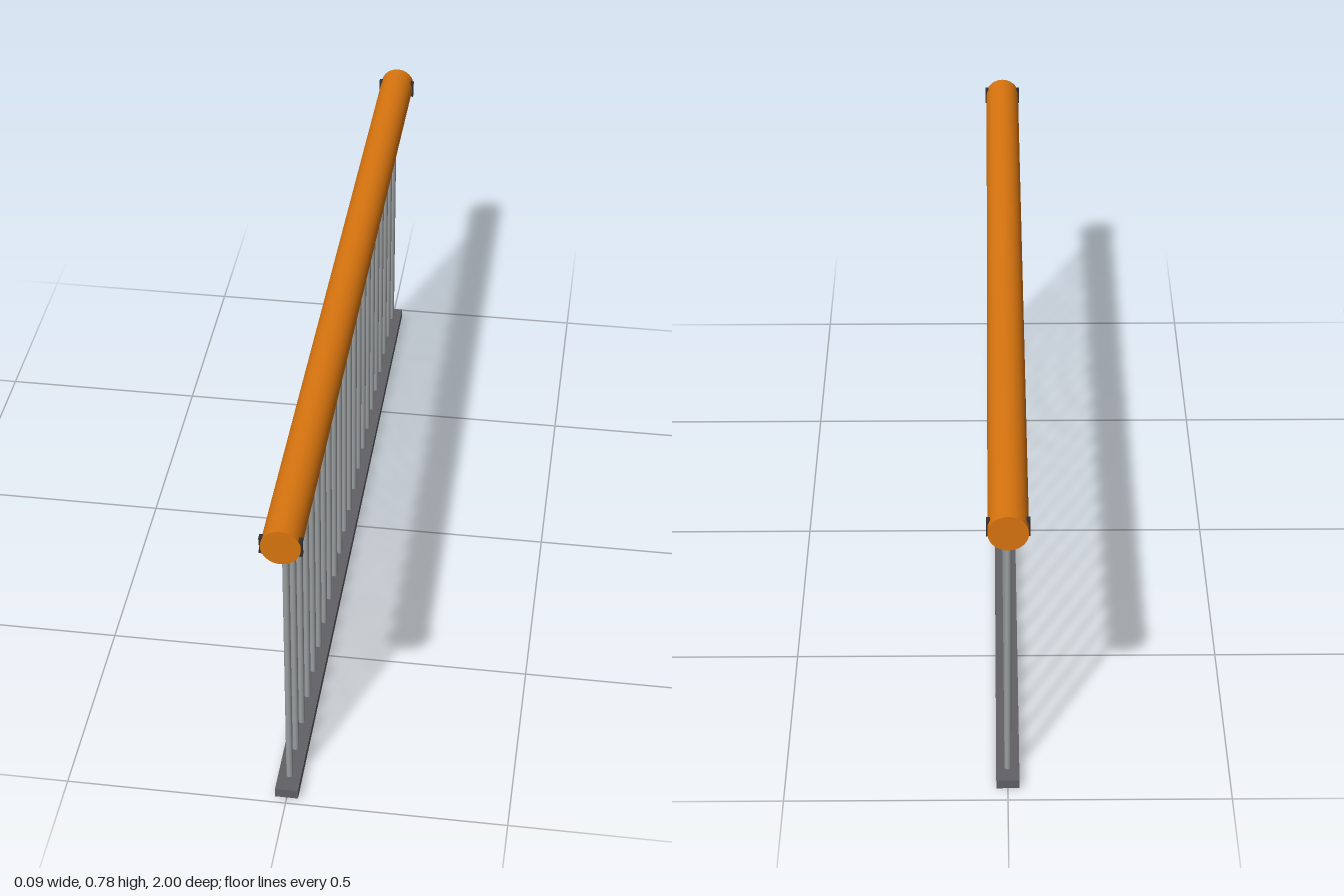
import * as THREE from 'three';

const mat = (name, color) => {
  const m = new THREE.MeshStandardMaterial({ color });
  m.name = name;
  return m;
};

export function createModel() {
  const orange = mat('orange', 0xd9750f);
  const steel = mat('steel grey', 0x9a9e9f);
  const darkGrey = mat('dark grey', 0x606066);
  const black = mat('charcoal', 0x303033);
  const navy = mat('dark violet', 0x3a3650);

  const model = new THREE.Group();
  model.name = 'railing';
  const add = (name, geometry, material, x, y, z, parent = model) => {
    const mesh = new THREE.Mesh(geometry, material);
    mesh.name = name;
    mesh.position.set(x, y, z);
    parent.add(mesh);
    return mesh;
  };

  // Round handrail running front to back
  const railY = 0.741;
  add('handrail', new THREE.CylinderGeometry(0.043, 0.043, 2, 48).rotateX(Math.PI / 2), orange, 0, railY, 0);

  // Evenly spaced balusters, from the base up into the rail
  const balusters = new THREE.Group();
  balusters.name = 'balusters';
  model.add(balusters);
  const rod = new THREE.CylinderGeometry(0.0077, 0.0077, 0.70, 16);
  const count = 22;
  for (let i = 0; i < count; i++) {
    add('baluster', rod, steel, 0, 0.365, 0.936 - i * 0.0884, balusters);
  }

  // Bottom rail with a narrower strip beneath it
  add('baseRail', new THREE.BoxGeometry(0.052, 0.023, 1.95), darkGrey, 0, 0.0145, 0.01);
  add('baseStrip', new THREE.BoxGeometry(0.036, 0.004, 1.485), navy, 0, 0.002, 0.007);

  // Small I-shaped brackets on both sides at each end of the handrail
  const web = new THREE.BoxGeometry(0.009, 0.04, 0.006);
  const flange = new THREE.BoxGeometry(0.009, 0.007, 0.014);
  for (const side of [-1, 1]) {
    for (const z of [0.991, -0.975]) {
      const bracket = new THREE.Group();
      bracket.name = 'endBracket';
      bracket.position.set(side * 0.0415, railY, z);
      model.add(bracket);
      add('bracketWeb', web, black, 0, 0, 0, bracket);
      for (const end of [-1, 1]) add('bracketFlange', flange, black, 0, end * 0.0165, 0, bracket);
    }
  }
  return model;
}
